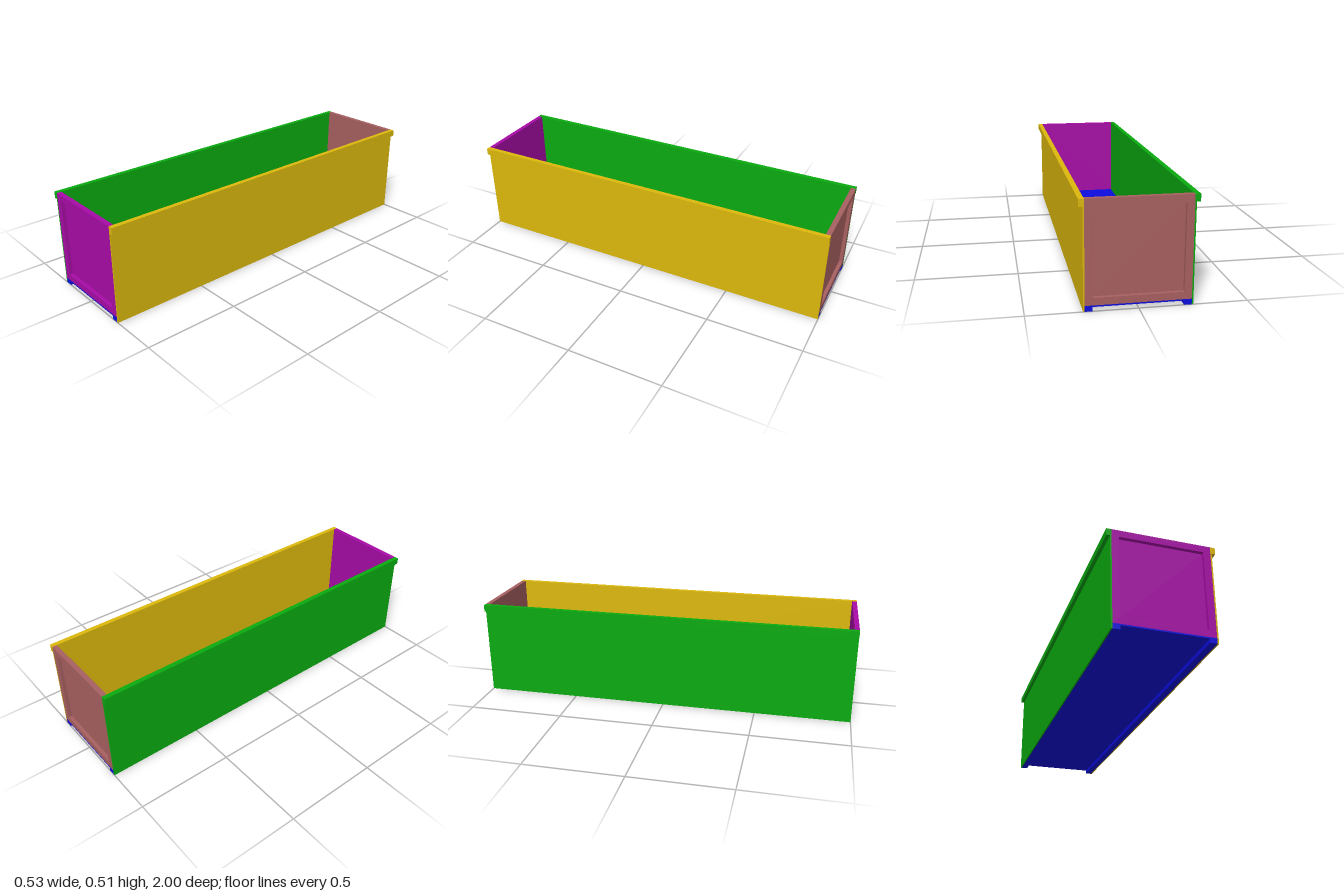
import * as THREE from 'three';

const LENGTH = 2, IN = 0.24, TOP = 0.507, FLOOR = 0.027;

// Outline from [x, y] pairs
function outline(points) {
  return new THREE.Shape(points.map(([x, y]) => new THREE.Vector2(x, y)));
}

// Extrude a cross-section along z between two depths
function prism(name, shape, z0, z1, material) {
  const geometry = new THREE.ExtrudeGeometry(shape, { depth: z1 - z0, bevelEnabled: false });
  geometry.translate(0, 0, z0);
  const mesh = new THREE.Mesh(geometry, material);
  mesh.name = name;
  return mesh;
}

const paint = (color) => new THREE.MeshStandardMaterial({ color, flatShading: true });

// Long wall with a thicker rail along its top edge; s is the side of x
function sideWall(name, s, color) {
  const profile = [
    [IN, 0], [0.247, 0], [0.247, 0.472], [0.265, 0.472], [0.265, TOP], [IN, TOP],
  ].map(([x, y]) => [s * x, y]);
  return prism(name, outline(profile), -LENGTH / 2, LENGTH / 2, paint(color));
}

// End wall: thin panel behind a raised rectangular frame, facing +z
function endWall(name, color) {
  const group = new THREE.Group();
  group.name = name;
  const material = paint(color);
  const corners = (x, y0, y1) => [[-x, y0], [x, y0], [x, y1], [-x, y1]];
  const frame = outline(corners(IN, FLOOR, TOP));
  frame.holes.push(outline(corners(0.205, 0.062, 0.472)));
  group.add(
    prism(name + 'Panel', outline(corners(IN, FLOOR, TOP)), 0.975, 0.982, material),
    prism(name + 'Frame', frame, 0.982, 1, material),
  );
  return group;
}

export function createModel() {
  const model = new THREE.Group();
  model.name = 'openTrough';

  // Floor with a runner under each long edge
  const floor = outline([
    [-IN, 0], [-0.205, 0], [-0.205, 0.02], [0.205, 0.02],
    [0.205, 0], [IN, 0], [IN, FLOOR], [-IN, FLOOR],
  ]);
  model.add(prism('floor', floor, -LENGTH / 2, LENGTH / 2, paint(0x0d0de0)));

  // Long walls
  model.add(sideWall('leftWall', 1, 0xdcb80c), sideWall('rightWall', -1, 0x0aaa10));

  // End walls
  const back = endWall('backWall', 0xa86060);
  back.rotation.y = Math.PI;
  model.add(endWall('frontWall', 0xa80ca8), back);

  return model;
}
